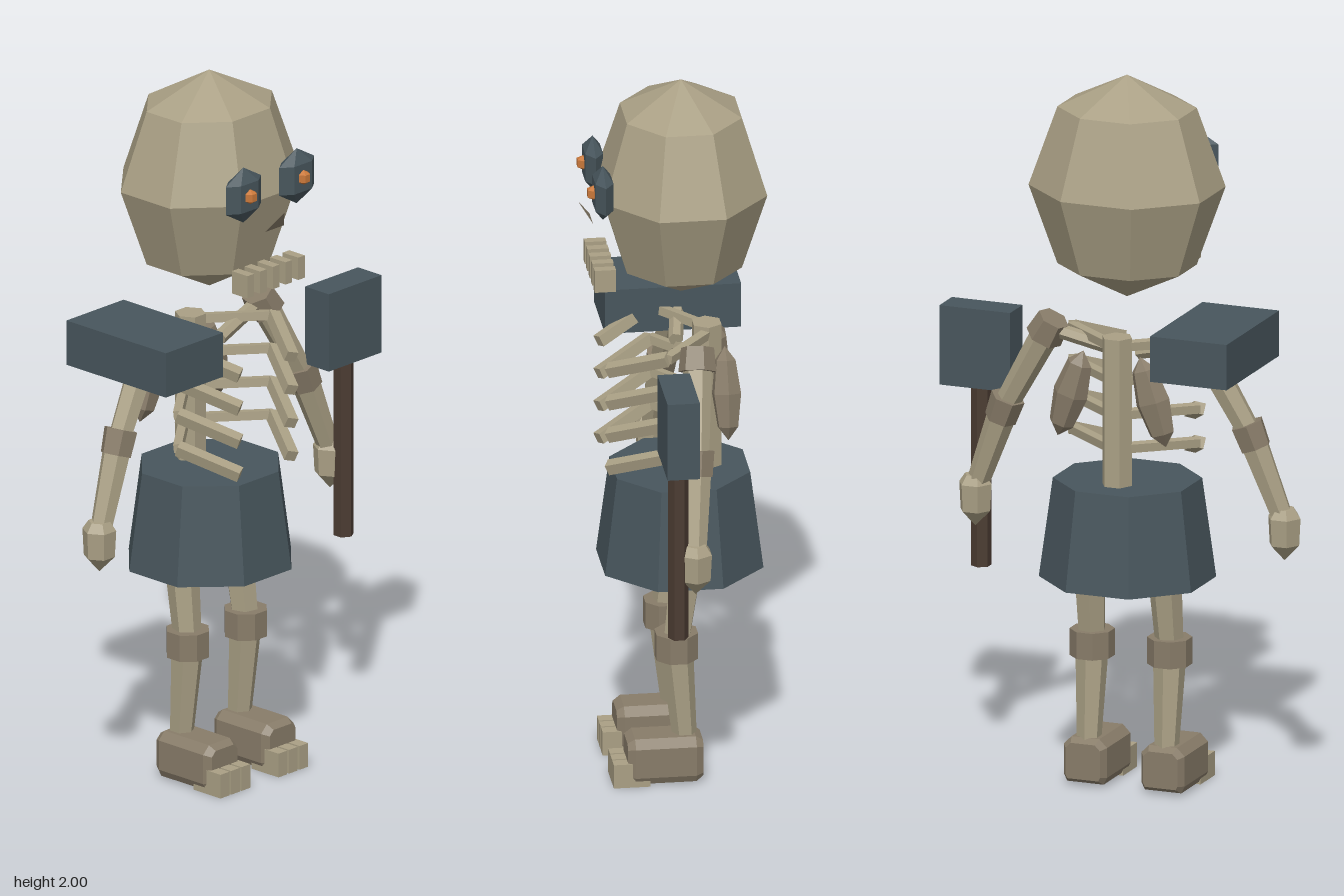
import * as THREE from 'three';

const CX = -0.033; // symmetry plane of the body
const V = (x, y, z) => new THREE.Vector3(x, y, z);

function material(name, color) {
  const m = new THREE.MeshStandardMaterial({ color });
  m.name = name;
  return m;
}

// Split faces so that every facet gets its own normal
function flat(geo) {
  const g = geo.index ? geo.toNonIndexed() : geo;
  g.computeVertexNormals();
  return g;
}

export function createModel() {
  const model = new THREE.Group();
  const bone = material('bone', 0xaaa085);
  const joint = material('dark bone', 0x887c69);
  const slate = material('slate', 0x48565d);
  const wood = material('dark wood', 0x4b3c32);
  const ember = material('ember orange', 0xc9783a);
  const nasal = material('nose bone', 0x857a66);
  nasal.side = THREE.DoubleSide;

  function add(name, geo, mat, x = 0, y = 0, z = 0, parent = model) {
    const mesh = new THREE.Mesh(flat(geo), mat);
    mesh.name = name;
    mesh.position.set(x, y, z);
    parent.add(mesh);
    return mesh;
  }

  // Tapered prism from a to b
  function limb(name, a, b, ra, rb, mat, parent = model, sides = 6) {
    const dir = b.clone().sub(a);
    const mid = a.clone().add(b).multiplyScalar(0.5);
    const geo = new THREE.CylinderGeometry(rb, ra, dir.length(), sides);
    const mesh = add(name, geo, mat, mid.x, mid.y, mid.z, parent);
    mesh.quaternion.setFromUnitVectors(V(0, 1, 0), dir.normalize());
    return mesh;
  }

  // Skull
  const skull = new THREE.SphereGeometry(1, 8, 4);
  skull.rotateY(Math.PI / 8);
  skull.scale(0.27, 0.31, 0.239);
  add('skull', skull, bone, CX, 1.69, -0.03);

  // Nose: a thin leaning triangle
  const nose = new THREE.BufferGeometry().setFromPoints(
    [V(-0.036, 1.605, 0.213), V(0.036, 1.605, 0.213), V(0, 1.66, 0.25)]);
  add('nose', nose, nasal, CX);

  // Teeth
  for (let i = -2; i <= 2; i++) {
    add('tooth', new THREE.BoxGeometry(0.026, 0.064, 0.058), bone, CX + i * 0.0495, 1.468, 0.19);
  }

  // Spine
  const spine = new THREE.CylinderGeometry(0.043, 0.043, 0.45, 6);
  spine.rotateY(Math.PI / 6);
  add('spine', spine, bone, CX, 1.06, -0.1);

  // Skirt
  const skirt = new THREE.CylinderGeometry(0.202, 0.24, 0.276, 8);
  skirt.rotateY(Math.PI / 8);
  skirt.scale(1, 1, 0.97);
  add('skirt', skirt, slate, CX, 0.734, -0.027);

  // Foot block with chamfered edges
  const sole = new THREE.Shape();
  [[-0.045, -0.05], [0.045, -0.05], [0.05, -0.04], [0.05, 0.035], [0.035, 0.05],
    [-0.035, 0.05], [-0.05, 0.035], [-0.05, -0.04]].forEach(([x, y], i) =>
    i ? sole.lineTo(x, y) : sole.moveTo(x, y));

  // Hand profile, from tip to wrist
  const handProfile = [[0, -0.085], [0.043, -0.04], [0.047, 0.035], [0.03, 0.06], [0, 0.06]]
    .map(([x, y]) => new THREE.Vector2(x, y));

  for (const s of [-1, 1]) {
    const side = s > 0 ? 'left' : 'right';
    const P = (x, y, z) => V(CX + s * x, y, z);

    // Eye socket and pupil
    const eye = new THREE.SphereGeometry(0.079, 6, 3);
    eye.scale(1, 1, 0.41);
    add(side + 'EyeSocket', eye, slate, CX + s * 0.104, 1.725, 0.196);
    const pupil = new THREE.SphereGeometry(0.021, 6, 3);
    add(side + 'Pupil', pupil, ember, CX + s * 0.104, 1.727, 0.222);

    // Ribs: back piece from the spine, then a piece bending forward and down
    for (let i = 0; i < 4; i++) {
      const y = 1.262 - i * 0.095;
      const bend = P(0.185, y, 0.03);
      limb(side + 'RibBack', P(0.025, y, -0.1), bend, 0.017, 0.017, bone, model, 4);
      limb(side + 'RibFront', bend, P(0.1, y - 0.06, 0.18), 0.022, 0.022, bone, model, 4);
    }

    // Shoulder blade and collarbone
    const blade = new THREE.SphereGeometry(1, 6, 4);
    blade.scale(0.05, 0.128, 0.042);
    add(side + 'ShoulderBlade', blade, joint, CX + s * 0.12, 1.125, -0.138).rotation.z = s * 0.3;
    limb(side + 'Collarbone', P(0.03, 1.225, -0.02), P(0.22, 1.275, -0.05), 0.02, 0.02, bone);

    // Arm
    const arm = new THREE.Group();
    arm.name = side + 'Arm';
    model.add(arm);
    const shoulder = P(0.223, 1.27, -0.045);
    const elbow = P(0.36, 1.028, -0.025);
    const wrist = P(0.442, 0.81, -0.01);
    limb('upperArm', shoulder, elbow, 0.04, 0.033, bone, arm);
    limb('forearm', elbow, wrist, 0.041, 0.031, bone, arm);
    const u = elbow.clone().sub(shoulder).normalize();
    limb('shoulderJoint', shoulder.clone().addScaledVector(u, -0.035),
      shoulder.clone().addScaledVector(u, 0.03), 0.045, 0.052, joint, arm);
    const f = wrist.clone().sub(elbow).normalize();
    limb('elbowJoint', elbow.clone().addScaledVector(f, -0.035),
      elbow.clone().addScaledVector(f, 0.035), 0.048, 0.044, joint, arm);
    const hand = add('hand', new THREE.LatheGeometry(handProfile, 6), bone,
      CX + s * 0.45, 0.77, -0.01, arm);
    hand.rotation.y = Math.PI / 6;

    // Leg
    const leg = new THREE.Group();
    leg.name = side + 'Leg';
    model.add(leg);
    const knee = P(0.113, 0.395, -0.002);
    limb('thigh', P(0.108, 0.66, -0.035), knee, 0.048, 0.038, bone, leg);
    limb('shin', knee, P(0.113, 0.12, -0.025), 0.046, 0.033, bone, leg);
    const cap = new THREE.CylinderGeometry(0.061, 0.061, 0.075, 8);
    cap.rotateY(Math.PI / 8);
    add('knee', cap, joint, knee.x, knee.y, knee.z, leg);

    // Foot and three toes
    const foot = new THREE.ExtrudeGeometry(sole, {
      depth: 0.165, bevelEnabled: true, bevelSegments: 1, bevelSize: 0.013, bevelThickness: 0.02,
    });
    add('foot', foot, joint, CX + s * 0.113, 0.075, -0.05, leg);
    for (let i = -1; i <= 1; i++) {
      add('toe', new THREE.BoxGeometry(0.034, 0.068, 0.1), bone,
        CX + s * 0.113 + i * 0.041, 0.039, 0.125, leg);
    }
  }

  // Shoulder guard on the right side only
  add('shoulderGuard', new THREE.BoxGeometry(0.223, 0.127, 0.37), slate, -0.287, 1.267, -0.028);

  // Hammer held in the left hand
  const hammer = new THREE.Group();
  hammer.name = 'hammer';
  model.add(hammer);
  limb('hammerShaft', V(0.42, 0.562, 0.038), V(0.42, 1.1, 0.038), 0.028, 0.028, wood, hammer);
  add('hammerHead', new THREE.BoxGeometry(0.206, 0.222, 0.088), slate, 0.42, 1.178, 0.037, hammer);

  return model;
}
